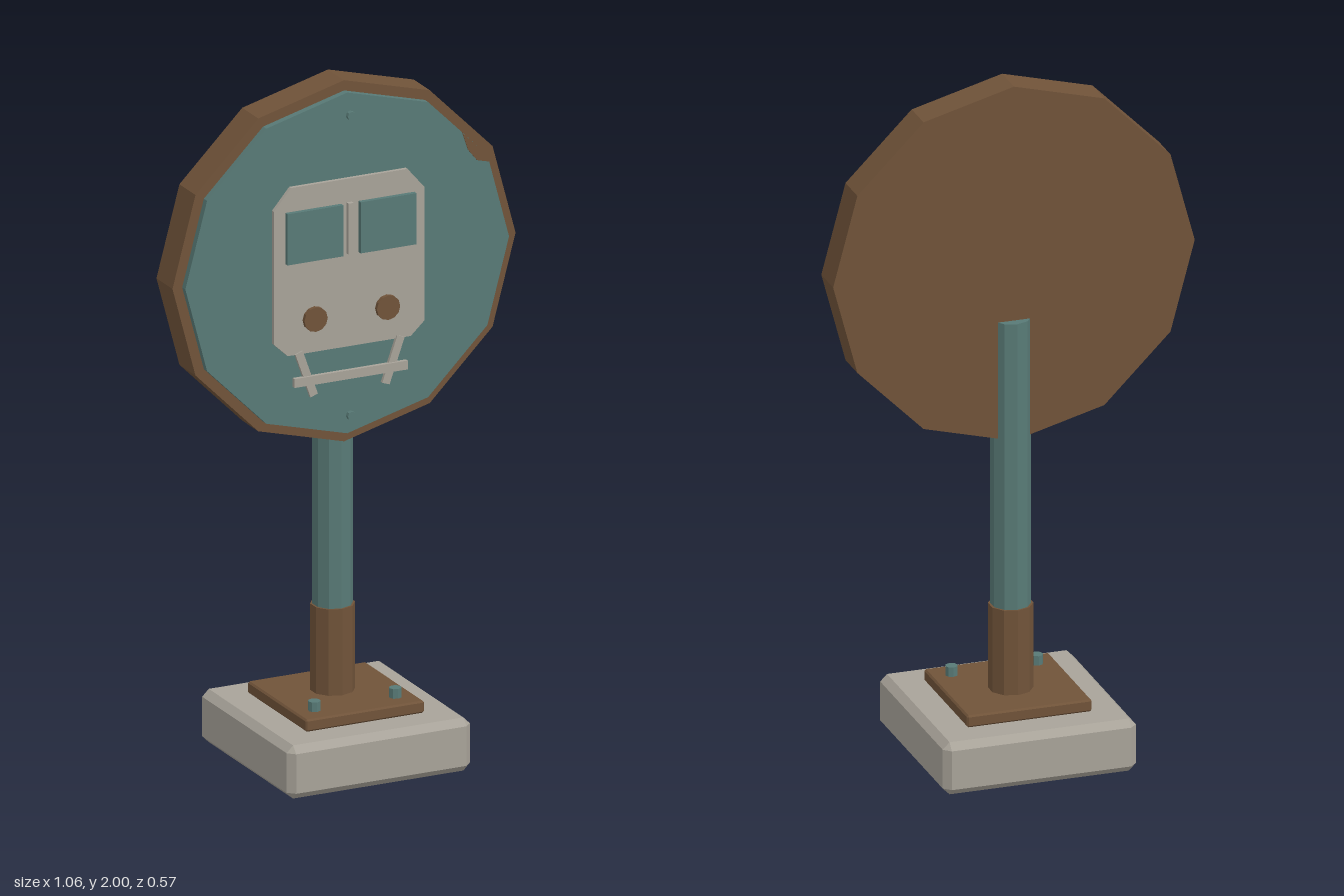
import * as THREE from 'three';
import { ConvexGeometry } from 'three/addons/geometries/ConvexGeometry.js';

export function createModel() {
  const model = new THREE.Group();
  model.name = 'railwaySign';
  const material = (name, color) => {
    const m = new THREE.MeshStandardMaterial({ color });
    m.name = name;
    return m;
  };
  const teal = material('tealPaint', 0x587a76);
  const brown = material('rustBrown', 0x705339);
  const grey = material('stoneGrey', 0xa8a399);

  // Adds a flat-faceted mesh at a position
  function add(name, geometry, mat, x = 0, y = 0, z = 0) {
    const g = geometry.index ? geometry.toNonIndexed() : geometry;
    g.computeVertexNormals();
    const mesh = new THREE.Mesh(g, mat);
    mesh.name = name;
    mesh.position.set(x, y, z);
    model.add(mesh);
    return mesh;
  }

  // Box with every edge chamfered by c
  function chamferBox(w, h, d, c) {
    const points = [];
    for (const x of [-1, 1]) for (const y of [-1, 1]) for (const z of [-1, 1]) {
      const [a, b, e] = [w / 2, h / 2, d / 2];
      points.push(
        new THREE.Vector3(x * a, y * (b - c), z * (e - c)),
        new THREE.Vector3(x * (a - c), y * b, z * (e - c)),
        new THREE.Vector3(x * (a - c), y * (b - c), z * e));
    }
    return new ConvexGeometry(points);
  }

  // Upright post, and disc facing the front
  const post = (r, h, sides) => new THREE.CylinderGeometry(r, r, h, sides);
  const disc = (r, depth, sides) => post(r, depth, sides).rotateX(Math.PI / 2);

  // Flat outline pushed forward by depth
  const plate = (points, depth) => new THREE.ExtrudeGeometry(
    new THREE.Shape(points.map(([x, y]) => new THREE.Vector2(x, y))),
    { depth, bevelEnabled: false });

  // Footing
  add('baseBlock', chamferBox(0.566, 0.156, 0.566, 0.02), grey, 0, 0.078, 0);
  add('basePlate', chamferBox(0.366, 0.036, 0.366, 0.005), brown, 0, 0.174, 0);
  for (const x of [-0.125, 0.125]) add('baseBolt', post(0.018, 0.03, 8), teal, x, 0.205, 0.117);

  // Pole
  add('poleSleeve', post(0.063, 0.255, 10), brown, 0, 0.3175, -0.022);
  add('pole', post(0.057, 1.11, 10), teal, 0, 0.745, -0.022);

  // Round sign
  const cy = 1.47;
  add('signRim', disc(0.53, 0.1, 12), brown, 0, cy, 0);
  add('signFace', disc(0.5, 0.02, 12), teal, 0, cy, 0.06);
  for (const y of [1.03, 1.91]) add('signScrew', disc(0.013, 0.013, 8), teal, 0, y, 0.094);
  add('rustChip', plate([[0.355, 1.797], [0.372, 1.745], [0.4, 1.71], [0.437, 1.7], [0.433, 1.72]], 0.003),
    brown, 0, 0, 0.07);

  // Train front
  add('trainBody', plate([
    [-0.19, 1.23], [0.19, 1.23], [0.233, 1.27], [0.233, 1.66],
    [0.18, 1.722], [-0.18, 1.722], [-0.233, 1.66], [-0.233, 1.27],
  ], 0.012), grey, 0, 0, 0.071);
  add('windowPost', new THREE.BoxGeometry(0.016, 0.15, 0.012), grey, 0, 1.578, 0.089);
  for (const s of [-1, 1]) {
    add('window', new THREE.BoxGeometry(0.172, 0.15, 0.014), teal, s * 0.113, 1.578, 0.093);
    add('headlamp', disc(0.036, 0.012, 12), brown, s * 0.112, 1.331, 0.096);
    const strut = add('guardStrut', new THREE.BoxGeometry(0.024, 0.14, 0.01), grey, s * 0.134, 1.17, 0.083);
    strut.rotation.z = -s * 0.34;
  }
  add('guardBar', new THREE.BoxGeometry(0.35, 0.026, 0.012), grey, 0, 1.151, 0.089);

  return model;
}
